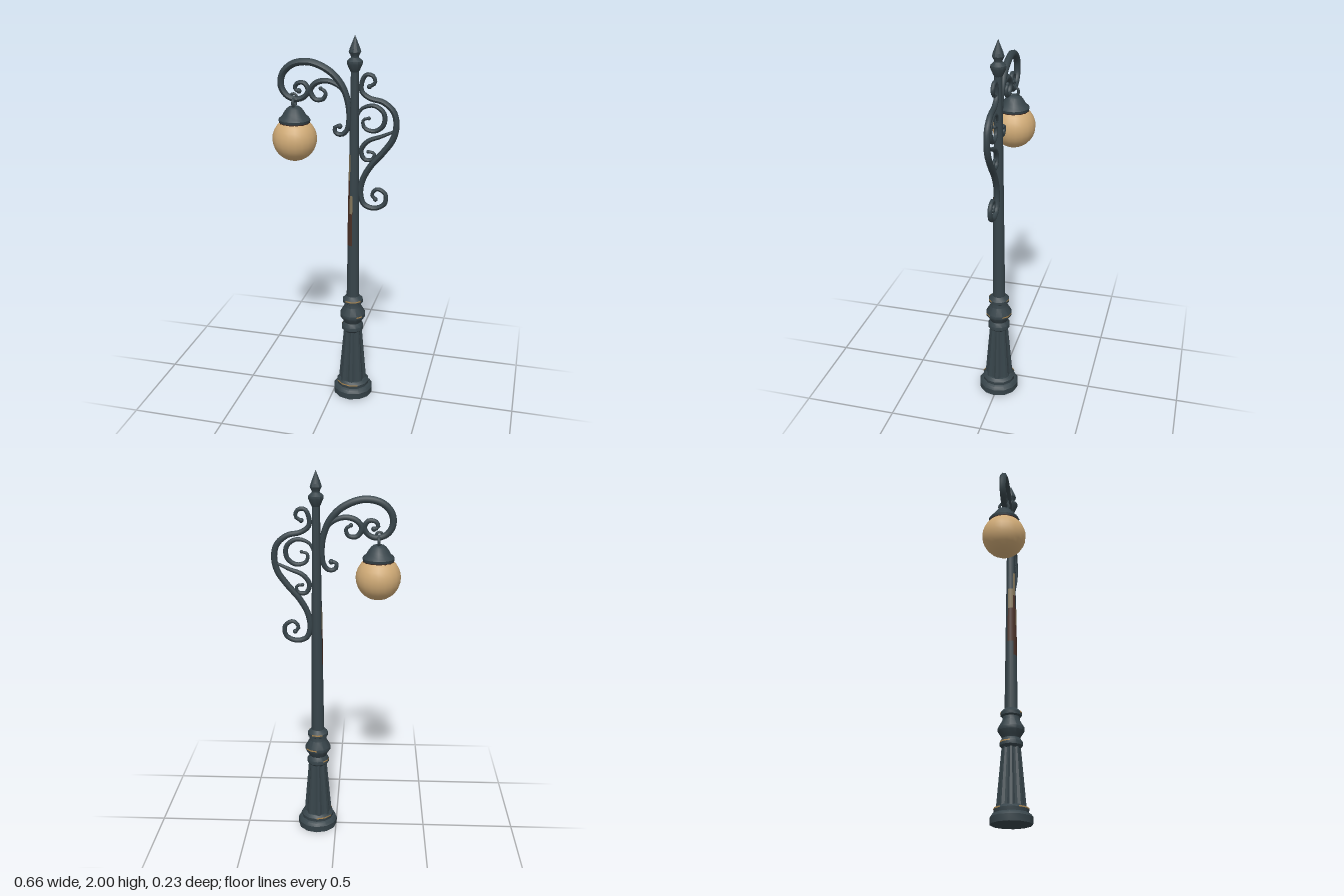
import * as THREE from 'three';
import { toCreasedNormals } from 'three/addons/utils/BufferGeometryUtils.js';

const mat = (name, color) => {
  const m = new THREE.MeshStandardMaterial({ color, side: THREE.DoubleSide });
  m.name = name;
  return m;
};

export function createModel() {
  const iron = mat('dark iron', 0x37444a);
  const glass = mat('amber glass', 0xcfaa76);
  const rust = mat('rust', 0x4a3026);
  const worn = mat('worn paint', 0x84765a);
  const brass = mat('brass edge', 0xa9854f);

  const lamp = new THREE.Group();
  lamp.name = 'streetLamp';
  const add = (parent, name, geo, material, x = 0, y = 0, z = 0) => {
    const m = new THREE.Mesh(geo, material);
    m.name = name;
    m.position.set(x, y, z);
    parent.add(m);
    return m;
  };
  const lathe = (pts, seg) => toCreasedNormals(
    new THREE.LatheGeometry(pts.map(([r, y]) => new THREE.Vector2(r, y)), seg), 0.6);

  // Post, standing slightly off centre
  const post = new THREE.Group();
  post.name = 'post';
  post.position.x = 0.1;
  lamp.add(post);

  const foot = add(post, 'foot', lathe([[0, 0], [0.108, 0], [0.11, 0.035], [0.1, 0.05], [0.088, 0.056],
    [0.09, 0.075], [0.076, 0.09], [0, 0.095]], 12), iron);
  foot.position.x = 0.005;

  // Fluted, tapering pedestal
  const flutes = new THREE.CylinderGeometry(0.049, 0.077, 0.32, 32, 1);
  const p = flutes.attributes.position;
  for (let i = 0; i < p.count; i++) {
    const a = Math.atan2(p.getX(i), p.getZ(i));
    const k = Math.round(a / (Math.PI / 16) + 64) % 4 < 2 ? 1 : 0.88;
    p.setX(i, p.getX(i) * k);
    p.setZ(i, p.getZ(i) * k);
  }
  add(post, 'pedestal', toCreasedNormals(flutes, 0.3), iron, 0.002, 0.24);

  add(post, 'collar', lathe([[0.045, 0.385], [0.06, 0.4], [0.06, 0.42], [0.047, 0.44], [0.053, 0.452],
    [0.07, 0.478], [0.07, 0.496], [0.047, 0.535], [0.045, 0.555], [0.056, 0.562], [0.056, 0.58],
    [0.036, 0.6]], 12), iron);
  const shaftR = y => 0.035 - 0.015 * (y - 0.58) / 1.25;
  add(post, 'shaft', lathe([[shaftR(0.58), 0.58], [shaftR(1.2), 1.2], [shaftR(1.83), 1.83]], 12), iron);
  add(post, 'finial', lathe([[0.02, 1.82], [0.026, 1.83], [0.04, 1.862], [0.039, 1.874], [0.02, 1.892],
    [0.021, 1.9], [0.031, 1.918], [0.026, 1.935], [0, 2]], 10), iron);

  // Weathered patches wrapped on one side of the shaft: from y, to y, first side, side count
  const step = Math.PI / 6;
  const patch = (name, material, y0, y1, first, n) => add(post, name, new THREE.CylinderGeometry(
    shaftR(y1) + 0.0015, shaftR(y0) + 0.0015, y1 - y0, n, 1, true, first * step, n * step),
  material, 0, (y0 + y1) / 2);
  patch('rustPatch', rust, 0.98, 1.18, -4, 4);
  patch('rustPatchLow', rust, 0.9, 0.98, -2, 2);
  patch('rustPatchHigh', rust, 1.18, 1.26, -2, 1);
  patch('wornPatch', worn, 1.18, 1.3, -4, 2);
  patch('wornPatchHigh', worn, 1.26, 1.4, -2, 1);
  patch('wornPatchLow', worn, 1.08, 1.18, -1, 1).scale.set(1.02, 1, 1.02);

  // Rubbed edges on the rings: radius, y, start, sides
  [[0.056, 0.578, -1, 3], [0.056, 0.578, 5, 2], [0.09, 0.077, -2, 3], [0.09, 0.077, 6, 2],
    [0.07, 0.49, 1, 1], [0.07, 0.49, 4, 2], [0.06, 0.418, -5, 2]].forEach(([r, y, s, n]) =>
    add(post, 'rubbedEdge', new THREE.CylinderGeometry(r + 0.001, r + 0.0015, 0.007, n, 1, true,
      s * step, n * step), brass, r > 0.08 ? 0.005 : 0, y));

  // Scrollwork: a tube along a flat path, thinner toward both ends.
  // Path points are in hundredths of a unit.
  const scroll = (name, pts, radius) => {
    const curve = new THREE.CatmullRomCurve3(pts.map(([x, y]) => new THREE.Vector3(x / 100, y / 100, 0)));
    const n = pts.length * 4, sides = 7;
    const geo = new THREE.TubeGeometry(curve, n, radius, sides, false);
    const pos = geo.attributes.position, v = new THREE.Vector3();
    for (let i = 0; i <= n; i++) {
      const c = curve.getPointAt(i / n);
      const k = 0.55 + 0.45 * Math.sin(Math.PI * i / n);
      for (let j = 0; j <= sides; j++) {
        const id = i * (sides + 1) + j;
        v.fromBufferAttribute(pos, id).sub(c).multiplyScalar(k).add(c);
        pos.setXYZ(id, v.x, v.y, v.z);
      }
    }
    geo.computeVertexNormals();
    add(lamp, name, geo, iron);
    [pts[0], pts[pts.length - 1]].forEach(([x, y]) =>
      add(lamp, name + 'Tip', new THREE.SphereGeometry(radius * 0.75, 8, 6), iron, x / 100, y / 100));
  };

  scroll('mainArm', [[2.4, 154], [0, 153.5], [0.2, 150.5], [3.5, 149.7], [6.2, 152.5], [7.2, 160],
    [6.2, 168], [3, 175.5], [-3.4, 182], [-13.5, 185.8], [-22.5, 184.3], [-27.8, 179], [-28.3, 172.5],
    [-25, 168], [-19.8, 166.7], [-15.6, 168.7], [-14.2, 172.2], [-16.5, 175.3], [-20.3, 174.5],
    [-21, 171.8], [-19, 171]], 0.019);
  scroll('innerArm', [[7.2, 167], [2.5, 174], [-4, 176.8], [-10, 175.5], [-13, 171.5], [-10.5, 167.2],
    [-6.3, 167.5], [-5, 171], [-7.5, 172.8]], 0.015);
  scroll('outerBracket', [[17.5, 175], [20.3, 177], [19.3, 180.3], [15.8, 180.8], [13.8, 177.5],
    [13.6, 172.5], [17.7, 169.2], [24.6, 167.5], [29.9, 163], [31.5, 156.5], [30, 149], [25, 141.6],
    [18.8, 134.2], [14.6, 126.3], [13.5, 118.5], [15.6, 113], [21, 111.4], [26.2, 114], [26.7, 119.5],
    [22.5, 122], [19.6, 118.8], [21.5, 116.3]], 0.017);
  scroll('upperScroll', [[17.5, 159], [14.6, 158], [15.2, 154], [20.5, 152.5], [25, 156], [25, 162],
    [20, 165.5], [13.8, 163.7], [11.5, 160]], 0.013);
  scroll('lowerScroll', [[30.5, 153], [24, 150], [17, 147], [13.6, 142], [15.5, 137.5], [19.6, 137.8],
    [20.3, 141], [17.3, 141.7]], 0.013);

  // Worn streak on the crown of the arm
  const streak = add(lamp, 'armWear', new THREE.SphereGeometry(1, 10, 6), brass, -0.155, 1.867);
  streak.scale.set(0.035, 0.005, 0.007);
  streak.rotation.z = 0.12;

  // Hanging lantern
  const lantern = new THREE.Group();
  lantern.name = 'lantern';
  lantern.position.x = -0.216;
  lamp.add(lantern);
  add(lantern, 'globe', new THREE.SphereGeometry(0.116, 20, 14), glass, 0, 1.46);
  add(lantern, 'cap', lathe([[0.07, 1.545], [0.08, 1.548], [0.083, 1.562], [0.078, 1.57], [0.062, 1.583],
    [0.056, 1.596], [0.04, 1.618], [0.028, 1.628], [0, 1.632]], 14), iron);
  add(lantern, 'capRim', lathe([[0.066, 1.54], [0.079, 1.542], [0.081, 1.549]], 14), rust);
  const ring = add(lantern, 'ring', new THREE.TorusGeometry(0.025, 0.008, 6, 14), iron, 0, 1.648);
  ring.rotation.y = Math.PI / 2;
  add(lantern, 'hook', new THREE.TorusGeometry(0.017, 0.007, 6, 12), iron, -0.002, 1.678);

  return lamp;
}
